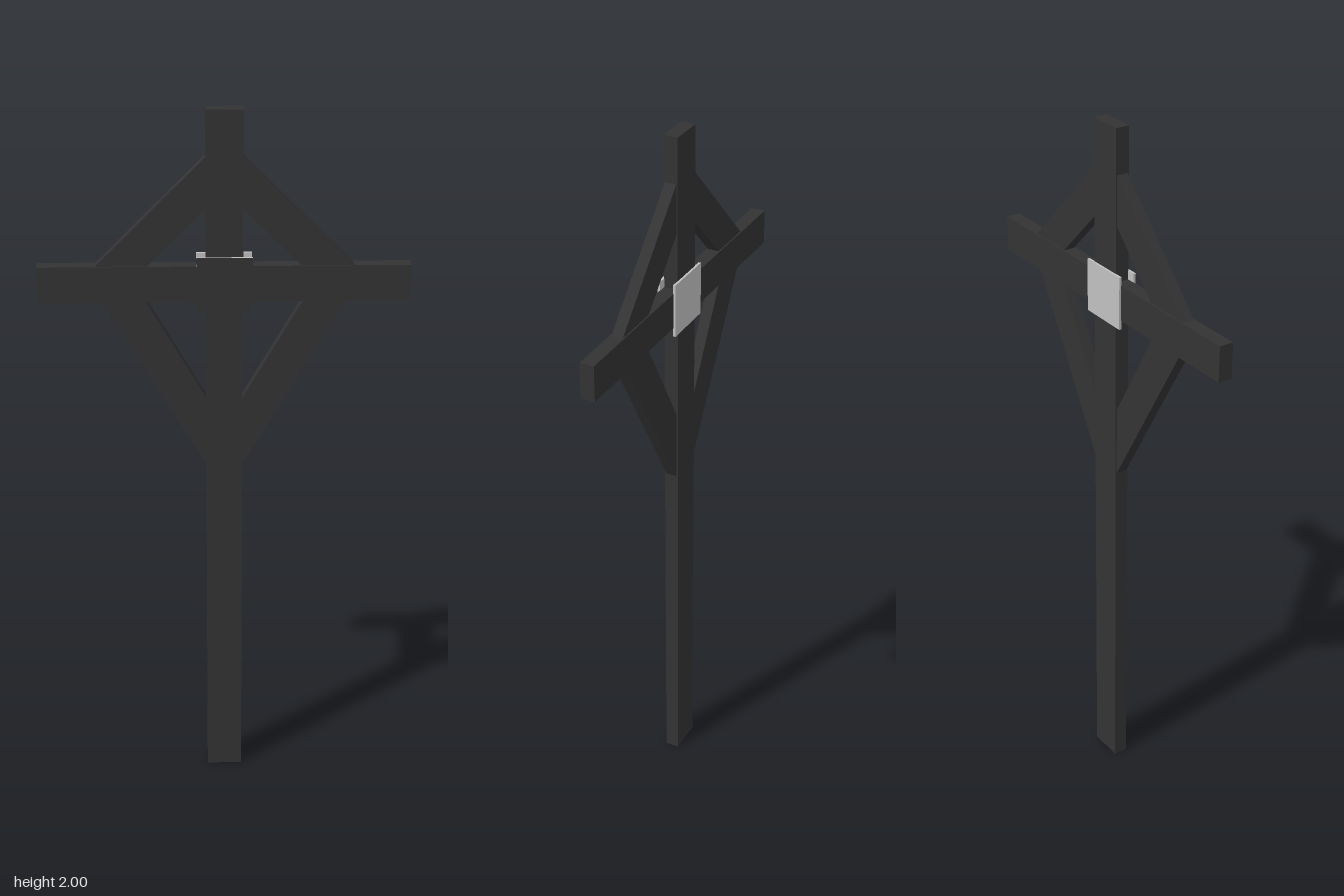
import * as THREE from 'three';

const wood = new THREE.MeshStandardMaterial({ color: 0x333333 });
wood.name = 'darkWood';
const metal = new THREE.MeshStandardMaterial({ color: 0xc0c0c0 });
metal.name = 'paleMetal';

function box(name, w, h, d, x, y, z, material) {
  const mesh = new THREE.Mesh(new THREE.BoxGeometry(w, h, d), material);
  mesh.name = name;
  mesh.position.set(x, y, z);
  return mesh;
}

// Flat diagonal brace cut to meet the post and the crossbar
function brace(name, points, side) {
  const shape = new THREE.Shape(points.map(([x, y]) => new THREE.Vector2(x * side, y)));
  const depth = 0.032;
  const geometry = new THREE.ExtrudeGeometry(shape, { depth, bevelEnabled: false });
  geometry.translate(0, 0, -depth / 2);
  const mesh = new THREE.Mesh(geometry, wood);
  mesh.name = name;
  return mesh;
}

export function createModel() {
  const group = new THREE.Group();
  group.name = 'bracedCross';

  // Main timbers
  group.add(box('post', 0.1, 2, 0.04, 0, 1, 0, wood));
  for (const [side, label] of [[1, 'left'], [-1, 'right']]) {
    group.add(box(label + 'Crossbar', 0.45, 0.1, 0.04, side * 0.275, 1.53, 0, wood));

    // Diagonal braces, with ends let into the timbers
    group.add(brace(label + 'UpperBrace',
      [[0.04, 1.885], [0.04, 1.745], [0.215, 1.57], [0.355, 1.57]], side));
    group.add(brace(label + 'LowerBrace',
      [[0.04, 0.983], [0.336, 1.49], [0.216, 1.49], [0.04, 1.183]], side));
  }

  // Joint plates; the front one has a dark face
  group.add(box('backPlate', 0.15, 0.15, 0.007, 0, 1.53, -0.0225, metal));
  group.add(box('frontPlate', 0.15, 0.15, 0.007, 0, 1.53, 0.0225,
    [metal, metal, metal, metal, wood, metal]));

  return group;
}
